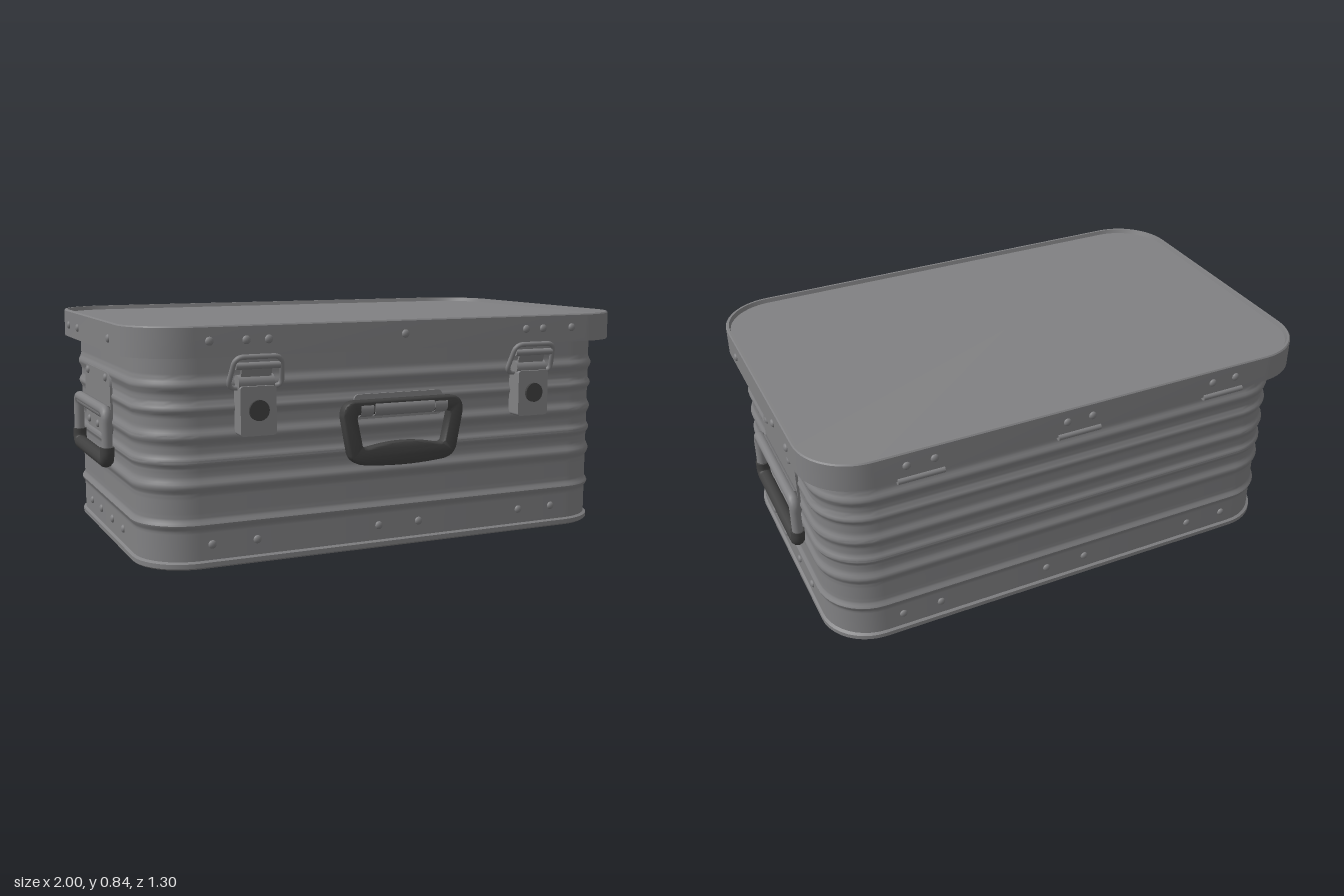
import * as THREE from 'three';
import { toCreasedNormals } from 'three/addons/utils/BufferGeometryUtils.js';

const metal = new THREE.MeshStandardMaterial({ color: 0x818183 });
metal.name = 'brushed metal';
const black = new THREE.MeshStandardMaterial({ color: 0x404040 });
black.name = 'black plastic';

function add(parent, name, geometry, material, x = 0, y = 0, z = 0) {
  const mesh = new THREE.Mesh(geometry, material);
  mesh.name = name;
  mesh.position.set(x, y, z);
  parent.add(mesh);
  return mesh;
}

function group(parent, name) {
  const g = new THREE.Group();
  g.name = name;
  parent.add(g);
  return g;
}

// Skin through rounded-rectangle sections [y, halfX, halfZ, cornerRadius]
function loft(sections, steps = 10) {
  const pos = [], index = [], n = 4 * (steps + 1);
  for (const [y, hx, hz, r] of sections) {
    for (let c = 0; c < 4; c++) {
      const sx = c === 0 || c === 3 ? 1 : -1, sz = c < 2 ? 1 : -1;
      for (let i = 0; i <= steps; i++) {
        const a = (c + i / steps) * Math.PI / 2;
        pos.push(sx * (hx - r) + r * Math.cos(a), y, sz * (hz - r) + r * Math.sin(a));
      }
    }
  }
  for (let s = 0; s < sections.length - 1; s++) {
    for (let i = 0; i < n; i++) {
      const a = s * n + i, c = s * n + (i + 1) % n;
      index.push(a, a + n, c, c, a + n, c + n);
    }
  }
  const g = new THREE.BufferGeometry();
  g.setAttribute('position', new THREE.Float32BufferAttribute(pos, 3));
  g.setIndex(index);
  return toCreasedNormals(g, 0.6);
}

// Polyline with rounded corners
function roundedPath(points, r, closed) {
  const path = new THREE.CurvePath(), n = points.length;
  const p = points.map((q) => new THREE.Vector3(...q));
  const toward = (a, b) => a.clone().add(b.clone().sub(a).setLength(r));
  const corners = p.map((q, i) => (!closed && (i === 0 || i === n - 1)) ? [q, q]
    : [toward(q, p[(i + n - 1) % n]), toward(q, p[(i + 1) % n])]);
  for (let i = 0; i < n; i++) {
    const [a, b] = corners[i];
    if (a !== b) path.add(new THREE.QuadraticBezierCurve3(a, p[i], b));
    if (closed || i < n - 1) path.add(new THREE.LineCurve3(b, corners[(i + 1) % n][0]));
  }
  return path;
}

const tube = (points, corner, radius, closed) =>
  new THREE.TubeGeometry(roundedPath(points, corner, closed), 72, radius, 12, closed);

function rod(radius, length) {
  return new THREE.CylinderGeometry(radius, radius, length, 18).rotateZ(Math.PI / 2);
}

function roundedPlate(w, h, r, depth) {
  const s = new THREE.Shape(), x = w / 2, y = h / 2;
  s.absarc(x - r, y - r, r, 0, Math.PI / 2);
  s.absarc(-x + r, y - r, r, Math.PI / 2, Math.PI);
  s.absarc(-x + r, -y + r, r, Math.PI, Math.PI * 1.5);
  s.absarc(x - r, -y + r, r, Math.PI * 1.5, Math.PI * 2);
  return new THREE.ExtrudeGeometry(s, { depth, bevelEnabled: false, curveSegments: 8 });
}

const rivetGeo = new THREE.SphereGeometry(0.015, 14, 8);
function rivet(parent, x, y, z, alongX = false) {
  add(parent, 'rivet', rivetGeo, metal, x, y, z).scale.set(alongX ? 0.6 : 1, 1, alongX ? 1 : 0.6);
}

function buildBody(parent) {
  // Beads pressed into the walls, [height, half width]
  const beads = [[0.635, 0.032], [0.555, 0.026], [0.46, 0.032], [0.375, 0.026], [0.29, 0.032], [0.155, 0.022]];
  const sections = [[0, 0, 0, 0], [0, 0.94, 0.573, 0.19], [0.006, 0.946, 0.579, 0.19],
    [0.022, 0.946, 0.579, 0.19], [0.028, 0.937, 0.57, 0.185]];
  for (let y = 0.036; y < 0.8; y += 0.008) {
    let bulge = 0;
    for (const [c, w] of beads) {
      const d = Math.abs(y - c) / w;
      if (d < 1) bulge = 0.011 * (0.5 + 0.5 * Math.cos(Math.PI * d));
    }
    sections.push([y, 0.937 + bulge, 0.57 + bulge, 0.185 + bulge]);
  }
  add(parent, 'body', loft(sections), metal);
  for (const x of [-0.71, -0.545, -0.07, 0.095, 0.535, 0.685]) {
    rivet(parent, x, 0.083, 0.571);
    rivet(parent, x, 0.083, -0.571);
  }
  for (const z of [0.235, 0.07, -0.11, -0.27])
    for (const s of [-1, 1]) rivet(parent, s * 0.938, 0.083, z, true);
}

function buildLid(parent) {
  const lid = group(parent, 'lid');
  lid.position.z = -0.004;
  // Hollow tray with a raised rim around a slightly sunken top
  add(lid, 'lidShell', loft([
    [0.8, 0, 0, 0], [0.8, 0.976, 0.623, 0.2], [0.735, 0.976, 0.623, 0.2],
    [0.735, 0.99, 0.637, 0.21], [0.836, 0.99, 0.637, 0.21], [0.841, 0.986, 0.633, 0.207],
    [0.841, 0.978, 0.625, 0.2], [0.825, 0.974, 0.621, 0.2], [0.825, 0, 0, 0]], 14), metal);
  for (const x of [-0.73, -0.6, -0.52, 0, 0.51, 0.585, 0.715]) rivet(lid, x, 0.79, 0.638);
  for (const z of [0.315, -0.19, -0.355])
    for (const s of [-1, 1]) rivet(lid, s * 0.991, 0.783, z, true);
  // Back hinges
  for (const x of [-0.59, 0.015, 0.615]) {
    add(lid, 'hingePin', rod(0.012, 0.17), metal, x, 0.733, -0.634);
    add(lid, 'hingeLeaf', new THREE.BoxGeometry(0.17, 0.006, 0.06), metal, x, 0.728, -0.604);
    for (const d of [-0.05, 0.05]) rivet(lid, x + d, 0.79, -0.638);
  }
}

function buildLatch(parent, x) {
  const latch = group(parent, 'latch');
  latch.position.x = x;
  add(latch, 'latchBox', roundedPlate(0.13, 0.17, 0.01, 0.065), metal, 0, 0.547, 0.572);
  add(latch, 'latchTop', rod(0.027, 0.13), metal, 0, 0.642, 0.598);
  add(latch, 'latchButton', new THREE.CylinderGeometry(0.036, 0.036, 0.014, 24).rotateX(Math.PI / 2),
    black, 0, 0.55, 0.64);
  add(latch, 'latchBail', tube([[-0.099, 0.625, 0.6], [0.099, 0.625, 0.6], [0.083, 0.733, 0.642],
    [-0.083, 0.733, 0.642]], 0.03, 0.009, true), metal);
  add(latch, 'latchHook', rod(0.012, 0.16), metal, 0, 0.702, 0.632);
  add(latch, 'latchLink', new THREE.BoxGeometry(0.11, 0.07, 0.008), metal, 0, 0.672, 0.614)
    .rotation.x = 0.35;
}

function buildFrontHandle(parent) {
  const handle = group(parent, 'frontHandle');
  // Tapered ring with a bowed grip
  const s = new THREE.Shape();
  s.moveTo(-0.19, 0.55);
  s.quadraticCurveTo(-0.237, 0.55, -0.235, 0.5);
  s.lineTo(-0.21, 0.37);
  s.quadraticCurveTo(-0.2, 0.338, -0.16, 0.333);
  s.quadraticCurveTo(0, 0.315, 0.16, 0.333);
  s.quadraticCurveTo(0.2, 0.338, 0.21, 0.37);
  s.lineTo(0.235, 0.5);
  s.quadraticCurveTo(0.237, 0.55, 0.19, 0.55);
  const hole = new THREE.Path();
  hole.moveTo(-0.18, 0.515);
  hole.lineTo(0.18, 0.515);
  hole.quadraticCurveTo(0.195, 0.51, 0.193, 0.49);
  hole.lineTo(0.172, 0.39);
  hole.quadraticCurveTo(0.16, 0.372, 0.13, 0.38);
  hole.quadraticCurveTo(0, 0.408, -0.13, 0.38);
  hole.quadraticCurveTo(-0.16, 0.372, -0.172, 0.39);
  hole.lineTo(-0.193, 0.49);
  hole.quadraticCurveTo(-0.195, 0.51, -0.18, 0.515);
  s.holes.push(hole);
  const ring = new THREE.ExtrudeGeometry(s, {
    depth: 0.024, bevelSize: 0.008, bevelThickness: 0.01, bevelSegments: 4, curveSegments: 10 });
  add(handle, 'handleRing', toCreasedNormals(ring, 0.7), black, 0, 0, 0.602);
  add(handle, 'handlePlate', roundedPlate(0.36, 0.09, 0.02, 0.008), metal, 0, 0.53, 0.58);
  add(handle, 'handleSleeve', rod(0.028, 0.24), metal, 0, 0.527, 0.615);
  for (const x of [-0.15, 0.15]) add(handle, 'handleBracket', rod(0.03, 0.05), metal, x, 0.527, 0.61);
}

// Built facing +z, then turned to its side
function buildSideHandle(parent, side) {
  const handle = group(parent, 'sideHandle');
  handle.position.set(side * 0.945, 0, -0.06);
  handle.rotation.y = side * Math.PI / 2;
  add(handle, 'mountPlate', roundedPlate(0.415, 0.24, 0.05, 0.009), metal, 0, 0.52, -0.002);
  for (const x of [-0.145, 0.145]) {
    rivet(handle, x, 0.62, 0.008);
    rivet(handle, x, 0.427, 0.008);
  }
  rivet(handle, 0, 0.427, 0.008);
  add(handle, 'hingeSleeve', rod(0.025, 0.4), metal, 0, 0.498, 0.022);
  add(handle, 'metalBow', tube([[-0.238, 0.35, 0.03], [-0.238, 0.508, 0.03], [0.238, 0.508, 0.03],
    [0.238, 0.35, 0.03]], 0.035, 0.02, false), metal);
  add(handle, 'grip', tube([[-0.236, 0.375, 0.03], [-0.236, 0.322, 0.03], [0.236, 0.322, 0.03],
    [0.236, 0.375, 0.03]], 0.035, 0.026, false), black);
  for (const x of [-0.236, 0.236])
    add(handle, 'gripEnd', new THREE.CylinderGeometry(0.026, 0.026, 0.006, 16), black, x, 0.373, 0.03);
}

export function createModel() {
  const model = new THREE.Group();
  model.name = 'metalCase';
  buildBody(model);
  buildLid(model);
  for (const x of [-0.56, 0.545]) buildLatch(model, x);
  buildFrontHandle(model);
  for (const side of [-1, 1]) buildSideHandle(model, side);
  return model;
}
